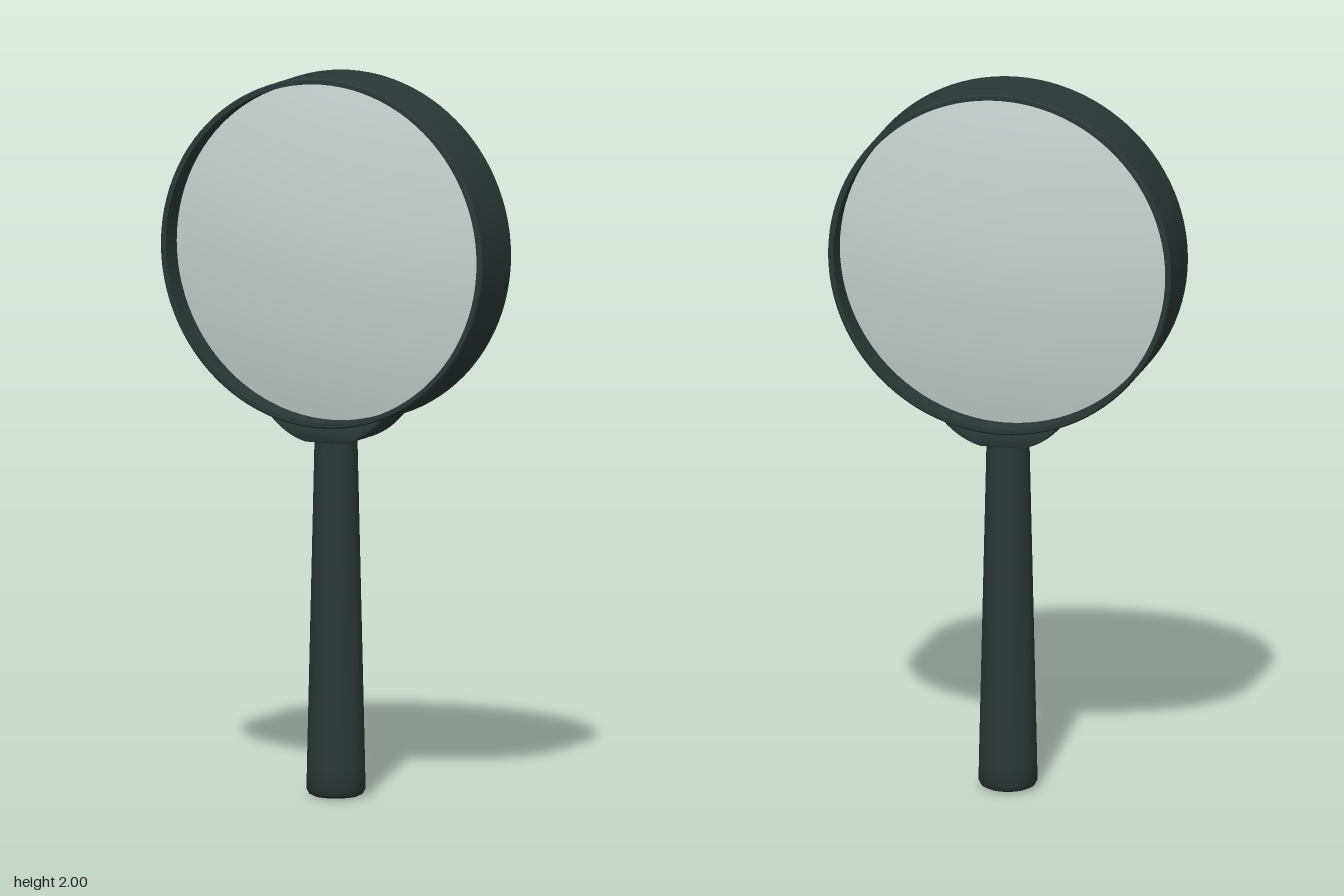
import * as THREE from 'three';
import { toCreasedNormals } from 'three/addons/utils/BufferGeometryUtils.js';

const CENTER_Y = 1.515;

export function createModel() {
  const model = new THREE.Group();
  model.name = 'magnifyingGlass';

  const casing = new THREE.MeshStandardMaterial({ color: 0x2c3836 });
  casing.name = 'dark casing';
  const glass = new THREE.MeshStandardMaterial({ color: 0xc6d0cd });
  glass.name = 'pale glass';

  const add = (name, geometry, material) => {
    const mesh = new THREE.Mesh(geometry, material);
    mesh.name = name;
    model.add(mesh);
    return mesh;
  };
  const lathe = (points, segments) => toCreasedNormals(
    new THREE.LatheGeometry(points.map(([r, y]) => new THREE.Vector2(r, y)), segments), 0.6);

  // Deep, thin-walled ring with slightly softened outer edges
  const rim = add('rim', lathe([
    [0.469, -0.098], [0.481, -0.098], [0.485, -0.094], [0.485, 0.094],
    [0.481, 0.098], [0.469, 0.098], [0.469, -0.098],
  ], 96), casing);
  rim.rotation.x = Math.PI / 2;
  rim.position.y = CENTER_Y;

  // Lens domed on both faces, recessed at its edge
  const radius = 0.47, edge = 0.025, bulge = 0.055, profile = [];
  const steps = 12;
  for (let i = 0; i <= steps; i++) {
    const t = i / steps;
    profile.push([radius * t, -edge - bulge * (1 - t * t)]);
  }
  for (let i = steps; i >= 0; i--) {
    const t = i / steps;
    profile.push([radius * t, edge + bulge * (1 - t * t)]);
  }
  const lens = add('lens', lathe(profile, 96), glass);
  lens.rotation.x = Math.PI / 2;
  lens.position.y = CENTER_Y;

  // Flared collar that hugs the underside of the rim
  const shape = new THREE.Shape();
  shape.moveTo(-0.06, 0.988);
  shape.lineTo(0.06, 0.988);
  shape.quadraticCurveTo(0.125, 1.005, 0.175, 1.064);
  const half = Math.asin(0.175 / 0.482);
  shape.absarc(0, CENTER_Y, 0.482, -Math.PI / 2 + half, -Math.PI / 2 - half, true);
  shape.quadraticCurveTo(-0.125, 1.005, -0.06, 0.988);
  const collar = new THREE.ExtrudeGeometry(shape, {
    depth: 0.14, bevelEnabled: true, bevelSize: 0.004, bevelThickness: 0.006,
    bevelOffset: -0.004, bevelSegments: 2, curveSegments: 16,
  });
  collar.translate(0, 0, -0.07);
  add('collar', toCreasedNormals(collar, 0.6), casing);

  // Tapered round handle with a rounded butt
  add('handle', lathe([
    [0, 0], [0.06, 0.002], [0.074, 0.009], [0.081, 0.022],
    [0.08, 0.08], [0.059, 0.99], [0, 0.99],
  ], 40), casing);

  return model;
}
